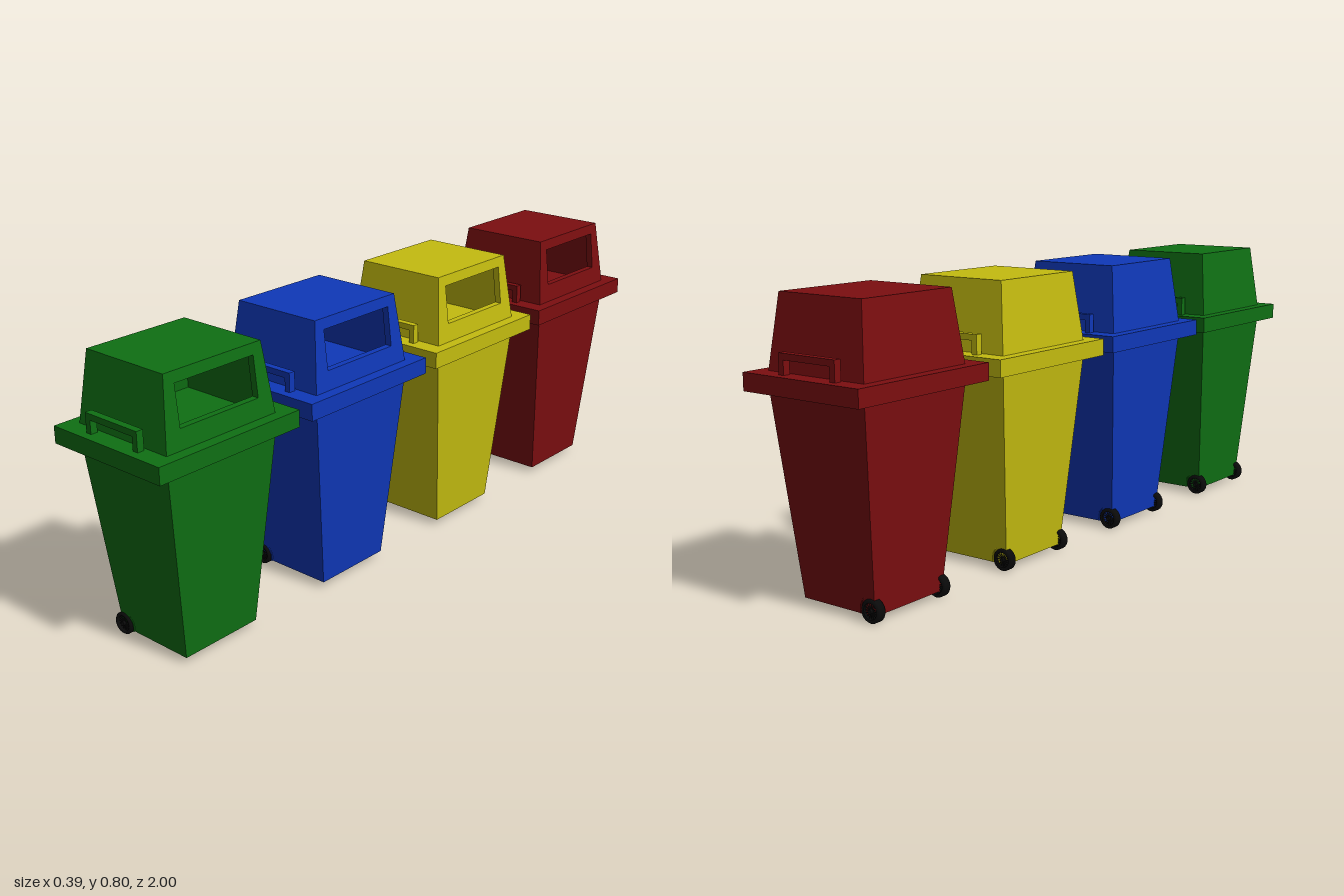
import * as THREE from 'three';

// Box whose top and bottom have different half sizes
function frustum(bx, bz, tx, tz, y0, y1) {
  const g = new THREE.BoxGeometry(2, 1, 2);
  const p = g.attributes.position;
  for (let i = 0; i < p.count; i++) {
    const top = p.getY(i) > 0;
    p.setXYZ(i, p.getX(i) * (top ? tx : bx), top ? y1 : y0, p.getZ(i) * (top ? tz : bz));
  }
  g.computeVertexNormals();
  return g;
}

// Leaning trapezoid panel, facing +z before it is turned by angle
function lidWall(halfBottom, halfTop, distBottom, distTop, height, angle, hole) {
  const s = new THREE.Shape([
    new THREE.Vector2(-halfBottom, 0), new THREE.Vector2(halfBottom, 0),
    new THREE.Vector2(halfTop, height), new THREE.Vector2(-halfTop, height)]);
  if (hole) {
    const { w, y0, y1 } = hole;
    s.holes.push(new THREE.Path([
      new THREE.Vector2(-w, y0), new THREE.Vector2(-w, y1),
      new THREE.Vector2(w, y1), new THREE.Vector2(w, y0)]));
  }
  const t = 0.02;
  const g = new THREE.ExtrudeGeometry(s, { depth: t, bevelEnabled: false });
  const p = g.attributes.position;
  for (let i = 0; i < p.count; i++) {
    const k = p.getY(i) / height;
    p.setZ(i, p.getZ(i) - t + distBottom + (distTop - distBottom) * k);
  }
  g.computeVertexNormals();
  return g.rotateY(angle);
}

function add(parent, name, geometry, material, x = 0, y = 0, z = 0) {
  const m = new THREE.Mesh(geometry, material);
  m.name = name;
  m.position.set(x, y, z);
  parent.add(m);
  return m;
}

// Spoked wheel with its axis along z
function makeWheel(black) {
  const wheel = new THREE.Group();
  wheel.name = 'wheel';
  const tyre = new THREE.LatheGeometry([
    [0.021, -0.012], [0.027, -0.014], [0.031, -0.009], [0.031, 0.009],
    [0.027, 0.014], [0.021, 0.012], [0.021, -0.012]].map(([r, y]) => new THREE.Vector2(r, y)), 32);
  add(wheel, 'tyre', tyre.rotateX(Math.PI / 2), black);
  add(wheel, 'hub', new THREE.CylinderGeometry(0.006, 0.006, 0.028, 16).rotateX(Math.PI / 2), black);
  for (let i = 0; i < 16; i++) {
    const spoke = new THREE.BoxGeometry(0.018, 0.002, 0.014).translate(0.0135, 0, 0);
    add(wheel, 'spoke', spoke.rotateZ(i * Math.PI / 8), black);
  }
  return wheel;
}

function makeBin(color) {
  const bin = new THREE.Group();
  const paint = new THREE.MeshStandardMaterial({ color, side: THREE.DoubleSide });
  const black = new THREE.MeshStandardMaterial({ color: 0x0a0a0a, side: THREE.DoubleSide });

  add(bin, 'body', frustum(0.121, 0.123, 0.16, 0.18, 0.017, 0.556), paint);
  add(bin, 'rim', new THREE.BoxGeometry(0.386, 0.047, 0.465), paint, 0, 0.5785, 0);

  // Hollow lid with an opening on the +x side
  const lid = new THREE.Group();
  lid.name = 'lid';
  lid.position.y = 0.602;
  bin.add(lid);
  const h = 0.193;
  const opening = { w: 0.128, y0: 0.053, y1: 0.163 };
  add(lid, 'openingWall', lidWall(0.18, 0.158, 0.16, 0.138, h, Math.PI / 2, opening), paint);
  add(lid, 'backWall', lidWall(0.18, 0.158, 0.16, 0.138, h, -Math.PI / 2), paint);
  for (const a of [0, Math.PI]) {
    add(lid, 'sideWall', lidWall(0.16, 0.138, 0.18, 0.158, h, a), paint);
  }
  add(lid, 'lidTop', frustum(0.139, 0.159, 0.138, 0.158, h - 0.015, h), paint);

  // Handles, wheels and wheel arches on both ends
  const handle = new THREE.Shape([
    [-0.094, 0], [-0.077, 0], [-0.077, 0.037], [0.077, 0.037],
    [0.077, 0], [0.094, 0], [0.094, 0.054], [-0.094, 0.054]].map(([x, y]) => new THREE.Vector2(x, y)));
  const handleGeo = new THREE.ExtrudeGeometry(handle, { depth: 0.02, bevelEnabled: false });
  handleGeo.translate(-0.002, 0, -0.01);
  for (const s of [1, -1]) {
    add(bin, 'handle', handleGeo, paint, 0, 0.602, s * 0.199);
    const wheel = makeWheel(black);
    wheel.position.set(-0.113, 0.031, s * 0.12);
    bin.add(wheel);
    const arch = add(bin, 'wheelArch', new THREE.TorusGeometry(0.037, 0.002, 6, 20, 2.1), paint,
      -0.113, 0.031, s * 0.126);
    arch.rotation.z = -0.35;
  }
  add(bin, 'axle', new THREE.CylinderGeometry(0.005, 0.005, 0.24, 12).rotateX(Math.PI / 2),
    black, -0.113, 0.031, 0);
  return bin;
}

export function createModel() {
  const model = new THREE.Group();
  model.name = 'recyclingBins';
  const bins = [['greenBin', 0x0f7014], ['blueBin', 0x0f38b8], ['yellowBin', 0xc4bc10], ['redBin', 0x7c0e10]];
  bins.forEach(([name, color], i) => {
    const bin = makeBin(color);
    bin.name = name;
    bin.position.z = 0.7675 - i * 0.5117;
    model.add(bin);
  });
  return model;
}
